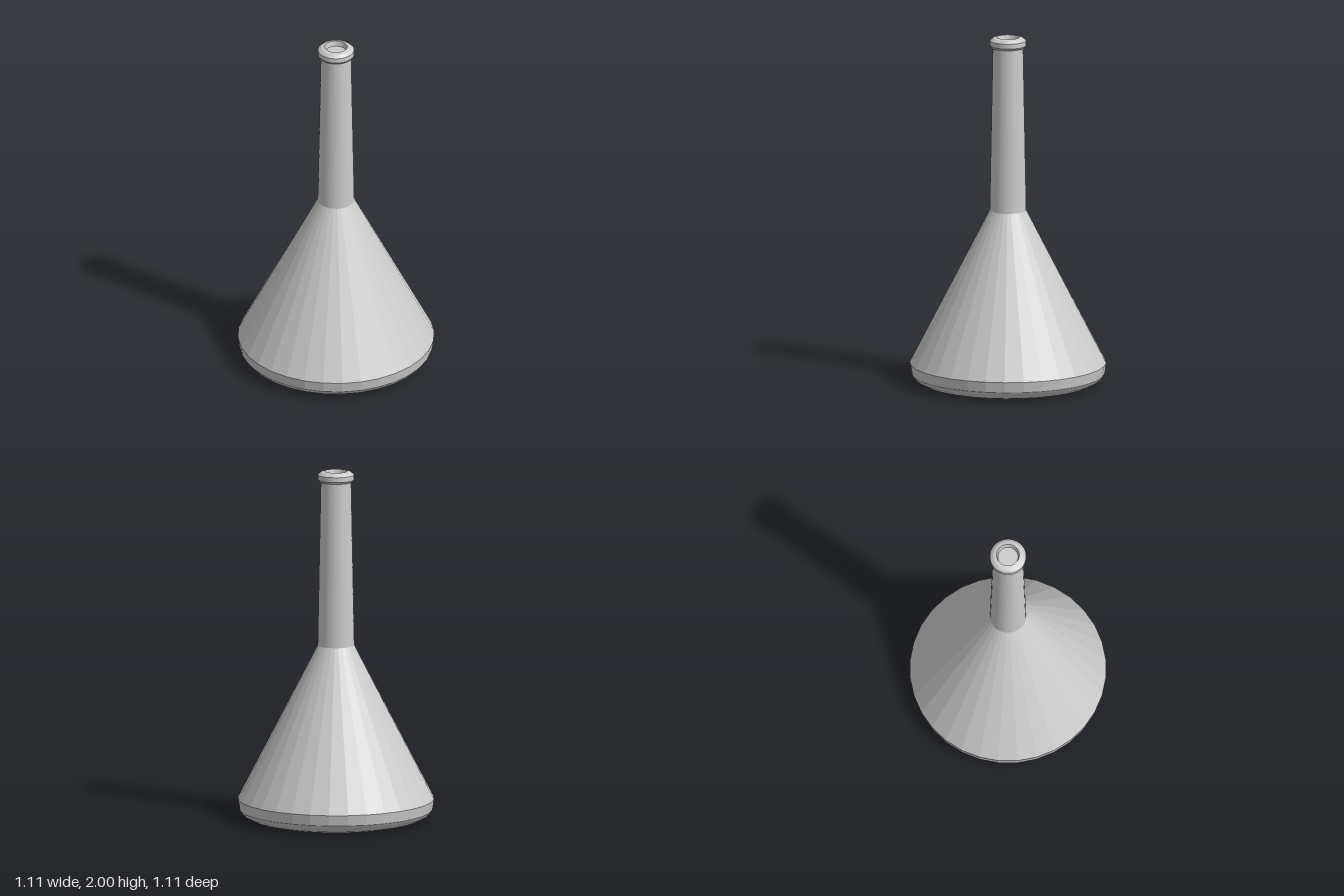
import * as THREE from 'three';

const SEGMENTS = 32;

// Revolve a profile of [radius, height] points, listed from bottom to top on the outside
function turned(name, profile, flatShading = false) {
  const points = profile.map(([r, y]) => new THREE.Vector2(r, y));
  let geometry = new THREE.LatheGeometry(points, SEGMENTS);
  if (flatShading) {
    geometry = geometry.toNonIndexed();
    geometry.computeVertexNormals();
  }
  const material = new THREE.MeshStandardMaterial({ color: 0xcccccc, flatShading });
  const mesh = new THREE.Mesh(geometry, material);
  mesh.name = name;
  return mesh;
}

export function createModel() {
  const flask = new THREE.Group();
  flask.name = 'flask';

  flask.add(
    // Flat underside and rounded foot
    turned('underside', [[0, 0], [0.44, 0]], true),
    turned('roundedFoot', [[0.44, 0], [0.495, 0.015], [0.53, 0.035], [0.547, 0.06]]),
    // Faceted band and conical body
    turned('baseBand', [[0.547, 0.06], [0.556, 0.12]], true),
    turned('coneBody', [[0.556, 0.12], [0.104, 1.0]], true),
    // Tapering neck
    turned('neck', [[0.104, 1.0], [0.086, 1.94]]),
    // Lip: underside, rim band, sloping top
    turned('lipUnderside', [[0.084, 1.94], [0.094, 1.94], [0.103, 1.952]], true),
    turned('lipBand', [[0.103, 1.952], [0.103, 1.98]]),
    turned('lipTop', [[0.103, 1.98], [0.085, 1.995], [0.064, 2.0]], true),
    // Shallow mouth closed by a flat stopper face
    turned('mouthWall', [[0.064, 2.0], [0.057, 1.97]]),
    turned('mouthFloor', [[0.057, 1.97], [0, 1.97]], true),
  );
  return flask;
}
